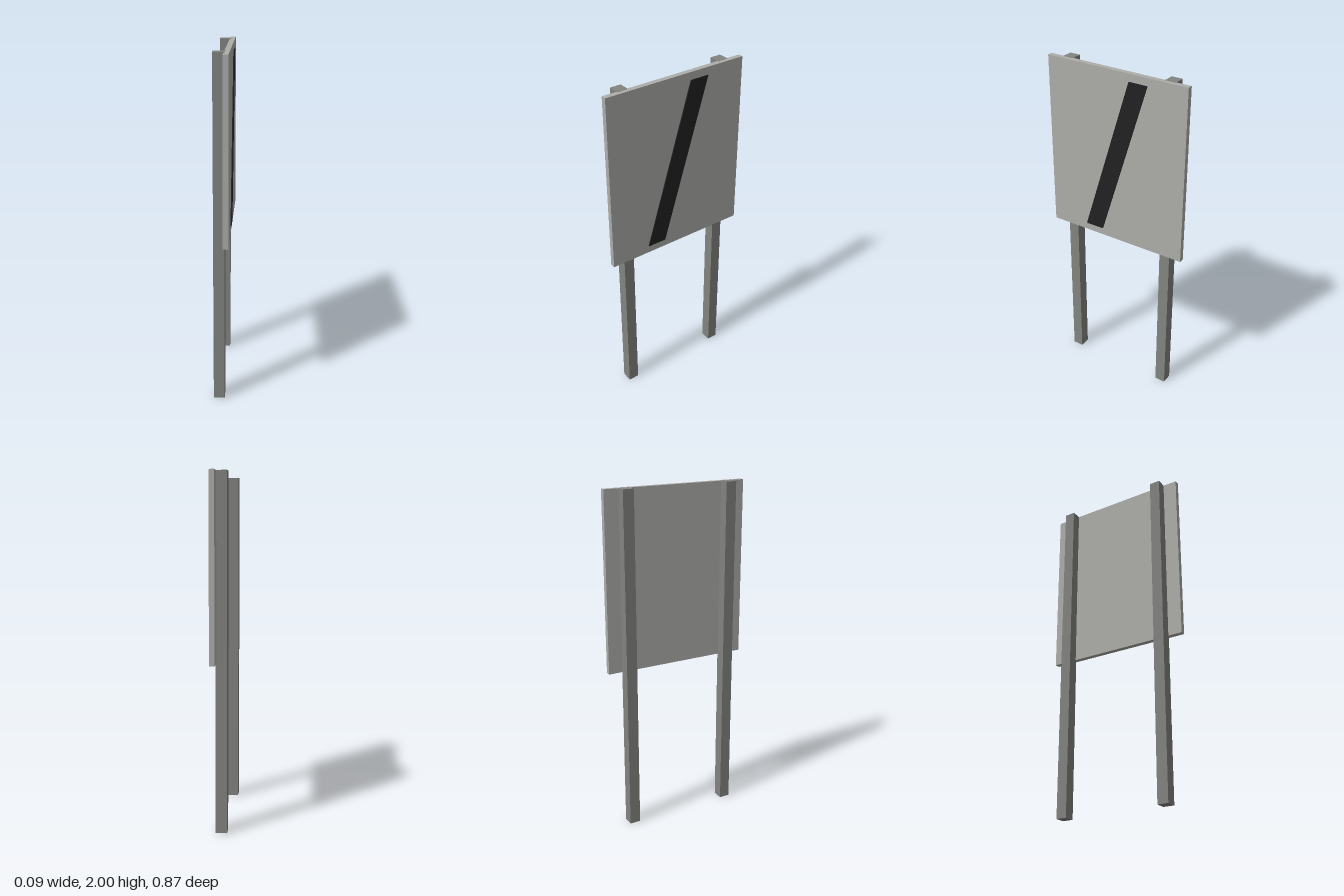
import * as THREE from 'three';

export function createModel() {
  const model = new THREE.Group();
  model.name = 'roadsideSign';

  const postGrey = new THREE.MeshStandardMaterial({ name: 'post grey', color: 0x828480 });
  const panelGrey = new THREE.MeshStandardMaterial({ name: 'panel grey', color: 0xadadaa });
  const stripeBlack = new THREE.MeshStandardMaterial({ name: 'stripe black', color: 0x222222 });

  const add = (name, geometry, material, x, y, z) => {
    const mesh = new THREE.Mesh(geometry, material);
    mesh.name = name;
    mesh.position.set(x, y, z);
    model.add(mesh);
    return mesh;
  };

  // Square posts, let slightly into the back of the panel
  const postGeometry = new THREE.BoxGeometry(0.064, 2, 0.064);
  for (const side of [1, -1]) {
    add(side > 0 ? 'leftPost' : 'rightPost', postGeometry, postGrey, -0.016, 1, side * 0.32);
  }

  // Sign panel facing +x
  add('panel', new THREE.BoxGeometry(0.03, 1.034, 0.874), panelGrey, 0.025, 1.482, 0);

  // Slanted stripe, drawn flat and turned to face +x
  const outline = new THREE.Shape([
    new THREE.Vector2(-0.2, 1.01),
    new THREE.Vector2(-0.087, 1.01),
    new THREE.Vector2(0.2, 1.955),
    new THREE.Vector2(0.087, 1.955),
  ]);
  const stripeGeometry = new THREE.ExtrudeGeometry(outline, { depth: 0.006, bevelEnabled: false });
  stripeGeometry.rotateY(Math.PI / 2);
  add('stripe', stripeGeometry, stripeBlack, 0.04, 0, 0);

  return model;
}
